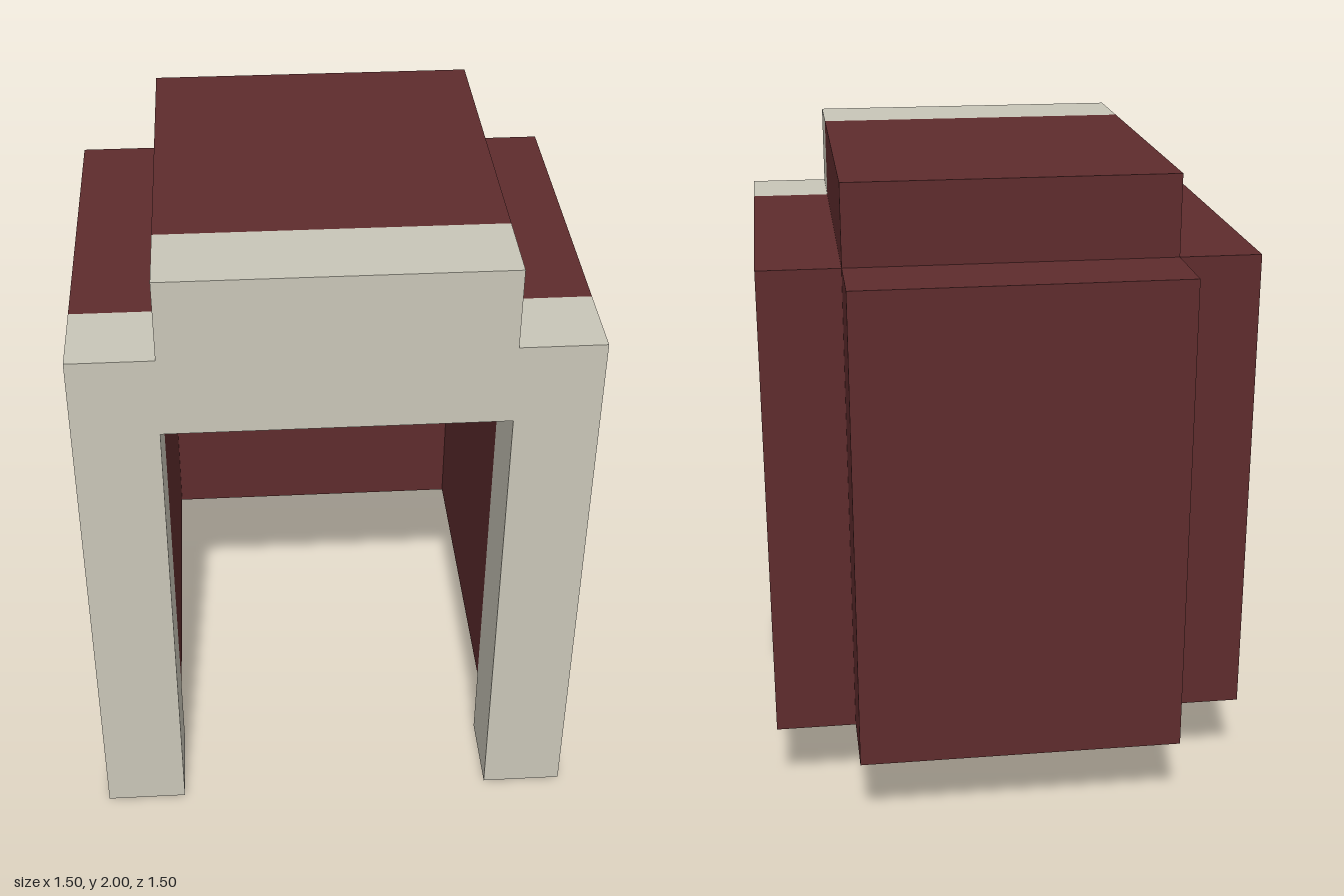
import * as THREE from 'three';

export function createModel() {
  const model = new THREE.Group();
  model.name = 'hood';
  const cloth = new THREE.MeshStandardMaterial({ color: 0x5e2c2d });
  cloth.name = 'dark red cloth';
  const trim = new THREE.MeshStandardMaterial({ color: 0xc9c6b8 });
  trim.name = 'pale trim';

  const add = (name, geometry, material, x, y, z) => {
    const mesh = new THREE.Mesh(geometry, material);
    mesh.name = name;
    mesh.position.set(x, y, z);
    model.add(mesh);
  };

  // Side, back and roof panels of the open-bottomed hood
  for (const [name, s] of [['leftPanel', 1], ['rightPanel', -1]]) {
    add(name, new THREE.BoxGeometry(0.25, 1.5, 1), cloth, s * 0.625, 1, 0);
  }
  add('backPanel', new THREE.BoxGeometry(1, 1.5, 0.25), cloth, 0, 1, -0.625);
  add('roofPanel', new THREE.BoxGeometry(1, 0.25, 1), cloth, 0, 1.875, 0);

  // Stepped arch framing the front opening, with legs reaching the ground
  const half = [[0.5, 0], [0.75, 0], [0.75, 1.75], [0.5, 1.75], [0.5, 2]];
  const outline = [
    [0.5, 1.5], ...half,
    ...half.map(([x, y]) => [-x, y]).reverse(), [-0.5, 1.5],
  ].map(([x, y]) => new THREE.Vector2(x, y));
  const arch = new THREE.ExtrudeGeometry(new THREE.Shape(outline), { depth: 0.25, bevelEnabled: false });
  add('frontTrim', arch, trim, 0, 0, 0.5);

  return model;
}
